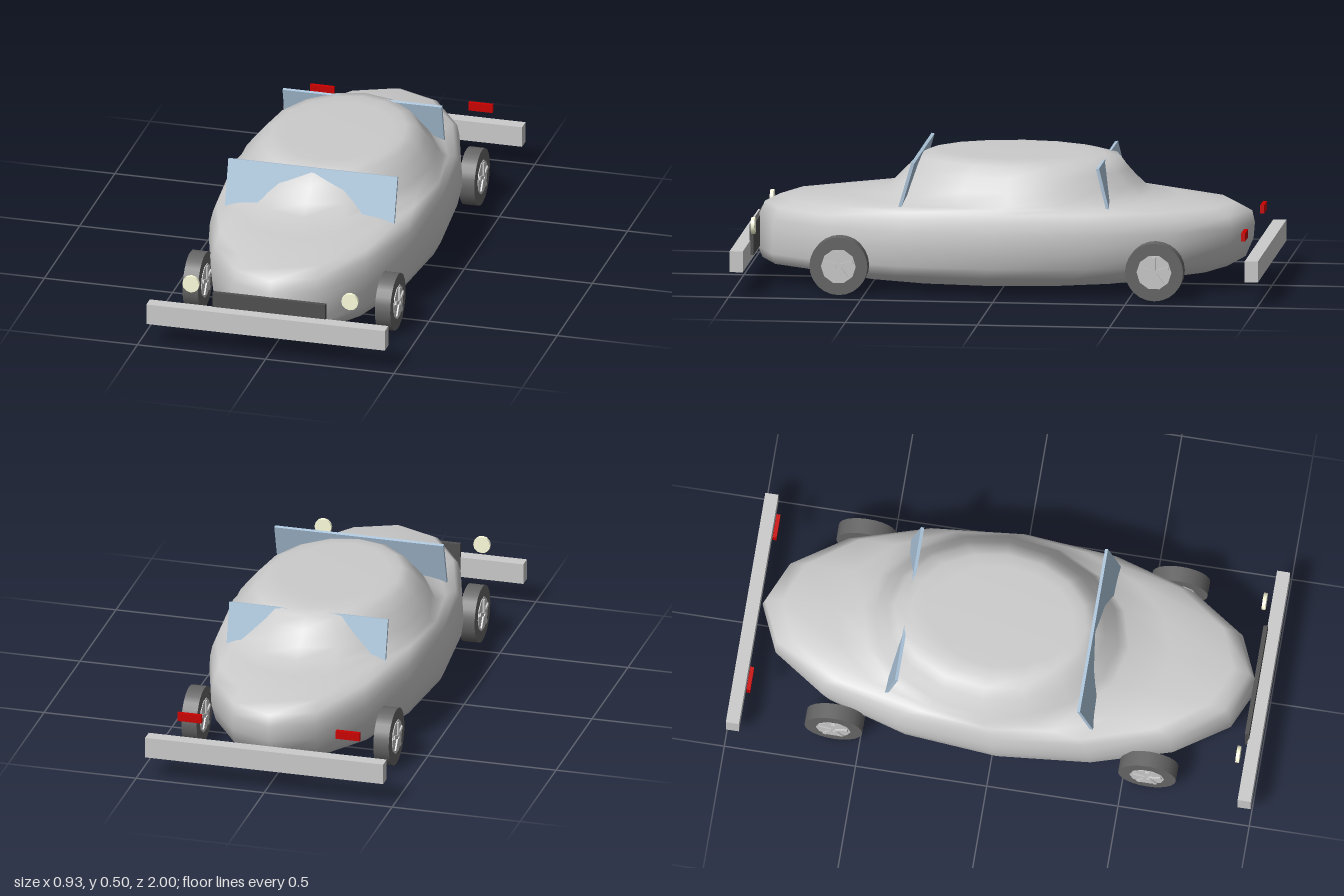
import * as THREE from 'three';

const material = (color) => new THREE.MeshStandardMaterial({ color });
const grey = material(0xcccccc);
const dark = material(0x666666);
const grilleDark = material(0x505050);
const glass = material(0xadc6dc);
const lamp = material(0xffffdd);
const red = material(0xcc0000);

function add(parent, name, geometry, mat, x = 0, y = 0, z = 0) {
  const mesh = new THREE.Mesh(geometry, mat);
  mesh.name = name;
  mesh.position.set(x, y, z);
  parent.add(mesh);
  return mesh;
}

// Body rings from floor to roof: height, front z, rear z, half width
const RINGS = [
  [0.025, 0.60, -0.50, 0.28],
  [0.035, 0.67, -0.60, 0.34],
  [0.07, 0.93, -0.83, 0.395],
  [0.11, 0.945, -0.90, 0.415],
  [0.18, 0.945, -0.93, 0.428],
  [0.24, 0.94, -0.935, 0.425],
  [0.285, 0.92, -0.925, 0.415],
  [0.315, 0.86, -0.86, 0.405],
  [0.335, 0.62, -0.66, 0.395],
  [0.35, 0.46, -0.55, 0.38],
  [0.39, 0.42, -0.505, 0.36],
  [0.44, 0.37, -0.46, 0.32],
  [0.48, 0.335, -0.43, 0.285],
  [0.493, 0.30, -0.37, 0.25],
  [0.497, 0.25, -0.30, 0.20],
];
const SIDES = 16;

function ringPoints([y, front, rear, halfWidth]) {
  return Array.from({ length: SIDES }, (_, i) => {
    const a = (i / SIDES) * Math.PI * 2;
    return [halfWidth * Math.sin(a), y, (front + rear) / 2 + ((front - rear) / 2) * Math.cos(a)];
  });
}

function meshFrom(points, index) {
  const g = new THREE.BufferGeometry();
  g.setAttribute('position', new THREE.Float32BufferAttribute(points.flat(), 3));
  g.setIndex(index);
  g.computeVertexNormals();
  return g;
}

// Smooth shell through the rings, closed at the roof
function bodyShell() {
  const points = RINGS.flatMap(ringPoints);
  const index = [];
  const last = RINGS.length - 1;
  for (let r = 0; r < last; r++) {
    for (let i = 0; i < SIDES; i++) {
      const j = (i + 1) % SIDES;
      const a = r * SIDES + i, b = r * SIDES + j;
      index.push(a, b, b + SIDES, a, b + SIDES, a + SIDES);
    }
  }
  const [y, front, rear] = RINGS[last];
  points.push([0, y, (front + rear) / 2]);
  for (let i = 0; i < SIDES; i++) {
    index.push(last * SIDES + i, last * SIDES + ((i + 1) % SIDES), points.length - 1);
  }
  return meshFrom(points, index);
}

// Flat underside
function floorPan() {
  const [y, front, rear] = RINGS[0];
  const points = [...ringPoints(RINGS[0]), [0, y, (front + rear) / 2]];
  const index = [];
  for (let i = 0; i < SIDES; i++) index.push(SIDES, (i + 1) % SIDES, i);
  return meshFrom(points, index);
}

// Tyre, hub and five raised spokes; the axle lies along x
function createWheel(name) {
  const wheel = new THREE.Group();
  wheel.name = name;
  add(wheel, 'tyre', new THREE.CylinderGeometry(0.11, 0.11, 0.06, 24).rotateZ(Math.PI / 2), dark);
  add(wheel, 'hub', new THREE.CylinderGeometry(0.066, 0.066, 0.066, 10).rotateZ(Math.PI / 2), grey);
  for (let i = 0; i < 5; i++) {
    const spoke = new THREE.BoxGeometry(0.078, 0.05, 0.014).translate(0, 0.033, 0);
    add(wheel, 'spoke', spoke, grey).rotation.x = (i / 5) * Math.PI * 2;
  }
  return wheel;
}

export function createModel() {
  const car = new THREE.Group();
  car.name = 'car';

  add(car, 'body', bodyShell(), grey);
  add(car, 'floor', floorPan(), grey);

  // Sloping glass panes set into the cabin
  const windshield = add(car, 'windshield', new THREE.BoxGeometry(0.66, 0.182, 0.012), glass, 0, 0.41, 0.347);
  windshield.rotation.x = -0.28;
  const rearWindow = add(car, 'rearWindow', new THREE.BoxGeometry(0.62, 0.16, 0.012), glass, 0, 0.407, -0.394);
  rearWindow.rotation.x = 0.24;

  // Bumpers and grille
  for (const [name, z] of [['frontBumper', 0.975], ['rearBumper', -0.975]]) {
    add(car, name, new THREE.BoxGeometry(0.93, 0.08, 0.05), grey, 0, 0.13, z);
  }
  add(car, 'grille', new THREE.BoxGeometry(0.44, 0.115, 0.016), grilleDark, 0, 0.171, 0.946);

  // Lights and wheels on both sides
  for (const [side, s] of [['left', 1], ['right', -1]]) {
    const disc = new THREE.CylinderGeometry(0.033, 0.033, 0.014, 12).rotateX(Math.PI / 2);
    add(car, side + 'Headlight', disc, lamp, s * 0.31, 0.243, 0.928);
    add(car, side + 'Taillight', new THREE.BoxGeometry(0.093, 0.032, 0.015), red, s * 0.309, 0.243, -0.932);
    for (const [end, z] of [['Front', 0.595], ['Rear', -0.6]]) {
      const wheel = createWheel(side + end + 'Wheel');
      wheel.position.set(s * 0.375, 0.11, z);
      car.add(wheel);
    }
  }
  return car;
}
